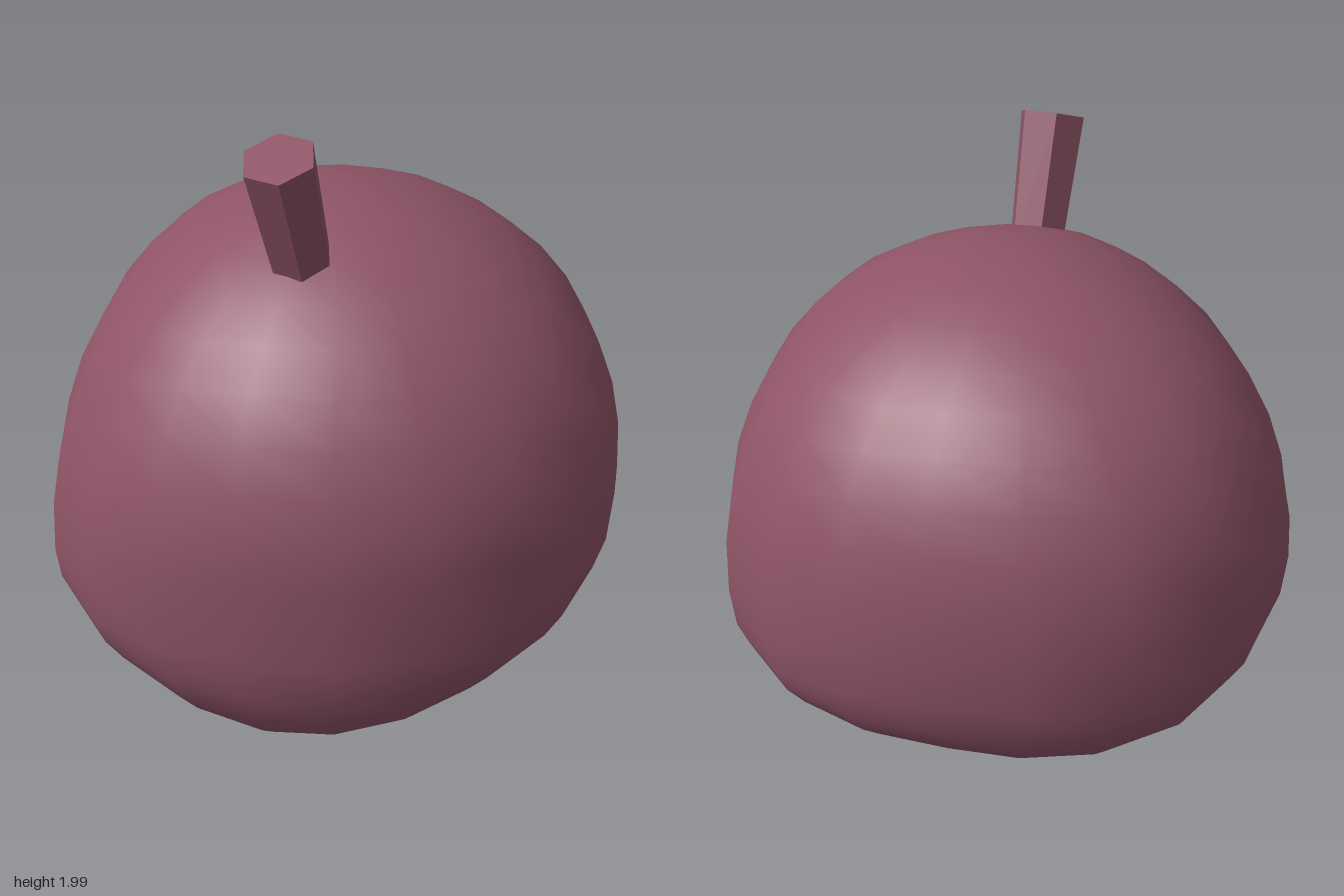
import * as THREE from 'three';

// Outline radii at the widest ring, from +x turning towards +z
const OUTLINE = [0.91, 0.91, 0.89, 0.88, 0.876, 0.88, 0.91, 0.94, 0.957, 0.933,
  0.92, 0.927, 0.942, 0.93, 0.9, 0.88, 0.91, 0.935, 0.953, 0.92];
const RINGS = 20;
const TOP = 1.715;

const bump = (x, z, cx, cz, wx, wz) => Math.exp(-(((x - cx) / wx) ** 2) - ((z - cz) / wz) ** 2);
const lobe = (a, degrees) => Math.max(0, Math.cos(a - THREE.MathUtils.degToRad(degrees))) ** 6;

// Height of the widest ring: it sags at two opposite corners
const waistHeight = (a) => 0.85 - 0.28 * lobe(a, 146) - 0.17 * lobe(a, 321);

// Height of a body point; s is its radial fraction of the outline, a its angle
function bodyHeight(x, z, s, a, upper) {
  const front = THREE.MathUtils.clamp(z / 0.88, -1, 1);
  const n = upper
    ? 2 + 0.22 * Math.max(0, -front)
    : 2.7 + 0.6 * Math.max(0, front) - 0.65 * lobe(a, 146);
  const h = Math.pow(Math.max(0, 1 - s ** n), 1 / n);
  const waist = waistHeight(a);
  if (upper) return waist + (TOP - waist) * h;
  // Underside: a low lobe at the front, a faint hollow behind it
  const floor = 0.165 + 0.02 * x
    - 0.195 * bump(x, z, 0, 0.52, 0.58, 0.5)
    + 0.03 * bump(x, z, -0.05, -0.3, 0.3, 0.25);
  return waist - (waist - floor) * h;
}

function bodyGeometry() {
  const sides = OUTLINE.length;
  const pos = [0, TOP, 0];
  const index = [];
  for (let i = 1; i < RINGS; i++) {
    const phi = (i / RINGS) * Math.PI;
    const s = Math.sin(phi);
    for (let j = 0; j < sides; j++) {
      const a = (j / sides) * Math.PI * 2;
      const x = OUTLINE[j] * s * Math.cos(a);
      const z = OUTLINE[j] * s * Math.sin(a);
      pos.push(x, bodyHeight(x, z, s, a, phi < Math.PI / 2), z);
    }
  }
  pos.push(0, bodyHeight(0, 0, 0, 0, false), 0);
  const last = pos.length / 3 - 1;
  const at = (i, j) => 1 + (i - 1) * sides + (j % sides);
  for (let j = 0; j < sides; j++) {
    index.push(0, at(1, j + 1), at(1, j));
    for (let i = 1; i < RINGS - 1; i++) {
      index.push(at(i, j), at(i, j + 1), at(i + 1, j));
      index.push(at(i, j + 1), at(i + 1, j + 1), at(i + 1, j));
    }
    index.push(last, at(RINGS - 1, j), at(RINGS - 1, j + 1));
  }
  const geo = new THREE.BufferGeometry();
  geo.setAttribute('position', new THREE.Float32BufferAttribute(pos, 3));
  geo.setIndex(index);
  geo.computeVertexNormals();
  return geo;
}

export function createModel() {
  const group = new THREE.Group();
  group.name = 'fruit';
  const color = 0x8e5466;

  // Rounded, lopsided body
  const body = new THREE.Mesh(bodyGeometry(), new THREE.MeshStandardMaterial({ color }));
  body.name = 'body';
  group.add(body);

  // Faceted stem leaning forward, sunk a little into the body
  const foot = new THREE.Vector3(0.015, 1.56, 0.34);
  const tip = new THREE.Vector3(0.005, 1.96, 0.5);
  const axis = tip.clone().sub(foot);
  const stem = new THREE.Mesh(
    new THREE.CylinderGeometry(0.108, 0.09, axis.length(), 6, 1, false, 0.35),
    new THREE.MeshStandardMaterial({ color, flatShading: true })
  );
  stem.name = 'stem';
  stem.position.copy(foot).add(tip).multiplyScalar(0.5);
  stem.quaternion.setFromUnitVectors(new THREE.Vector3(0, 1, 0), axis.normalize());
  group.add(stem);

  return group;
}
